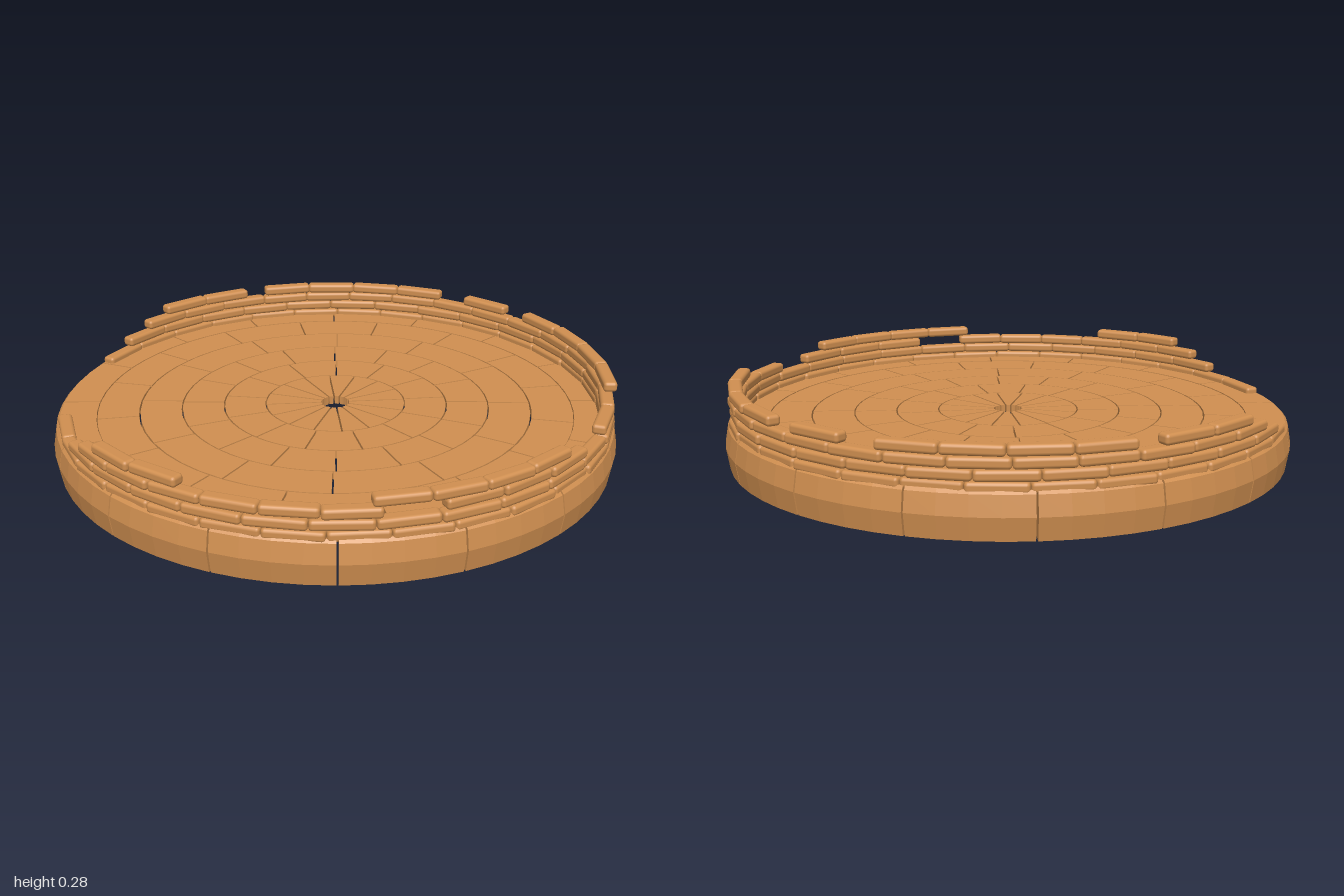
import * as THREE from 'three';
import { RoundedBoxGeometry } from 'three/addons/geometries/RoundedBoxGeometry.js';

const DEG = Math.PI / 180;
const stone = new THREE.MeshStandardMaterial({ color: 0xd08f50, side: THREE.DoubleSide });

// small seeded generator for the uneven brickwork
let seed = 7;
const rand = () => (seed = (seed * 16807) % 2147483647) / 2147483647;
const jitter = (s) => (rand() - 0.5) * 2 * s;

// point at radius r and angle a, measured from the front (+z) towards +x
const polar = (r, y, a) => [r * Math.sin(a), y, r * Math.cos(a)];

// stone open underneath: a profile of [radius, y] swept from angle a0 to a1
function sectorGeometry(profile, a0, a1, steps, gap) {
  const pos = [];
  const at = (i, k) => {
    const [r, y] = profile[i];
    const inset = Math.min(gap / r, (a1 - a0) * 0.2);
    return polar(r, y, a0 + inset + ((a1 - a0 - 2 * inset) * k) / steps);
  };
  for (let k = 0; k < steps; k++) {
    for (let i = 0; i < profile.length - 1; i++) {
      const a = at(i, k), b = at(i + 1, k), c = at(i + 1, k + 1), d = at(i, k + 1);
      pos.push(...a, ...b, ...c, ...a, ...c, ...d);
    }
  }
  // radial end walls
  for (let i = 1; i < profile.length - 1; i++) {
    pos.push(...at(0, 0), ...at(i + 1, 0), ...at(i, 0));
    pos.push(...at(0, steps), ...at(i, steps), ...at(i + 1, steps));
  }
  const geo = new THREE.BufferGeometry();
  geo.setAttribute('position', new THREE.Float32BufferAttribute(pos, 3));
  geo.computeVertexNormals();
  return geo;
}

function stoneRing(name, profile, count, offset, steps, gap) {
  const ring = new THREE.Group();
  ring.name = name;
  const step = (2 * Math.PI) / count;
  for (let i = 0; i < count; i++) {
    const a = offset * DEG + i * step;
    const tile = new THREE.Mesh(sectorGeometry(profile, a, a + step, steps, gap), stone);
    tile.name = name + 'Stone';
    ring.add(tile);
  }
  return ring;
}

// one run of bricks between two angles (degrees)
function brickRun(from, to, y, height) {
  const run = new THREE.Group();
  run.name = 'brickRun';
  const count = Math.max(1, Math.round((to - from) / 11.5));
  const step = (to - from) / count;
  for (let i = 0; i < count; i++) {
    const a = (from + (i + 0.5) * step) * DEG;
    const r = 0.955 + jitter(0.004);
    const length = 2 * r * Math.sin((step * DEG) / 2) + 0.002;
    const brick = new THREE.Mesh(new RoundedBoxGeometry(length, height, 0.048, 2, 0.012), stone);
    brick.name = 'brick';
    brick.position.set(...polar(r, y + height / 2, a));
    brick.rotation.y = a + jitter(0.025);
    run.add(brick);
  }
  return run;
}

export function createModel() {
  const model = new THREE.Group();
  model.name = 'ruinedRoundPlatform';

  // paved floor: concentric rings of shallow slabs
  const floor = new THREE.Group();
  floor.name = 'floor';
  const top = 0.148, under = 0.118;
  const rings = [
    // inner radius, outer radius, slabs, first seam in degrees
    [0.05, 0.25, 16, 8],
    [0.25, 0.40, 13, 182],
    [0.40, 0.55, 16, 3],
    [0.55, 0.70, 12, 182],
    [0.70, 0.85, 16, 13],
  ];
  for (const [r0, r1, count, offset] of rings) {
    const a = r0 + (r0 > 0.06 ? 0.0025 : 0), b = r1 - 0.0025;
    const profile = [[a, under], [a, top], [b, top], [b, under]];
    floor.add(stoneRing('floorRing', profile, count, offset, 4, 0.003));
  }
  model.add(floor);

  // heavy rim blocks with a bulging outer face
  const rim = [[0.85, 0], [0.85, 0.15], [0.978, 0.15], [0.988, 0.14], [1.0, 0.075], [0.988, 0]];
  model.add(stoneRing('rimBlocks', rim, 16, 3.1, 4, 0.003));

  // broken parapet: each course has its own surviving runs
  const courses = [
    { y: 0.137, h: 0.035, runs: [[282, 610]] },
    { y: 0.173, h: 0.036, runs: [[300, 602]] },
    { y: 0.210, h: 0.036, runs: [[306, 371], [382, 417], [427, 595]] },
    { y: 0.247, h: 0.036, runs: [[9, 51], [84, 130], [136, 148], [155, 201], [206, 229], [312, 334]] },
  ];
  courses.forEach(({ y, h, runs }, i) => {
    const course = new THREE.Group();
    course.name = 'parapetCourse' + (i + 1);
    for (const [from, to] of runs) course.add(brickRun(from, to, y, h));
    model.add(course);
  });

  return model;
}
